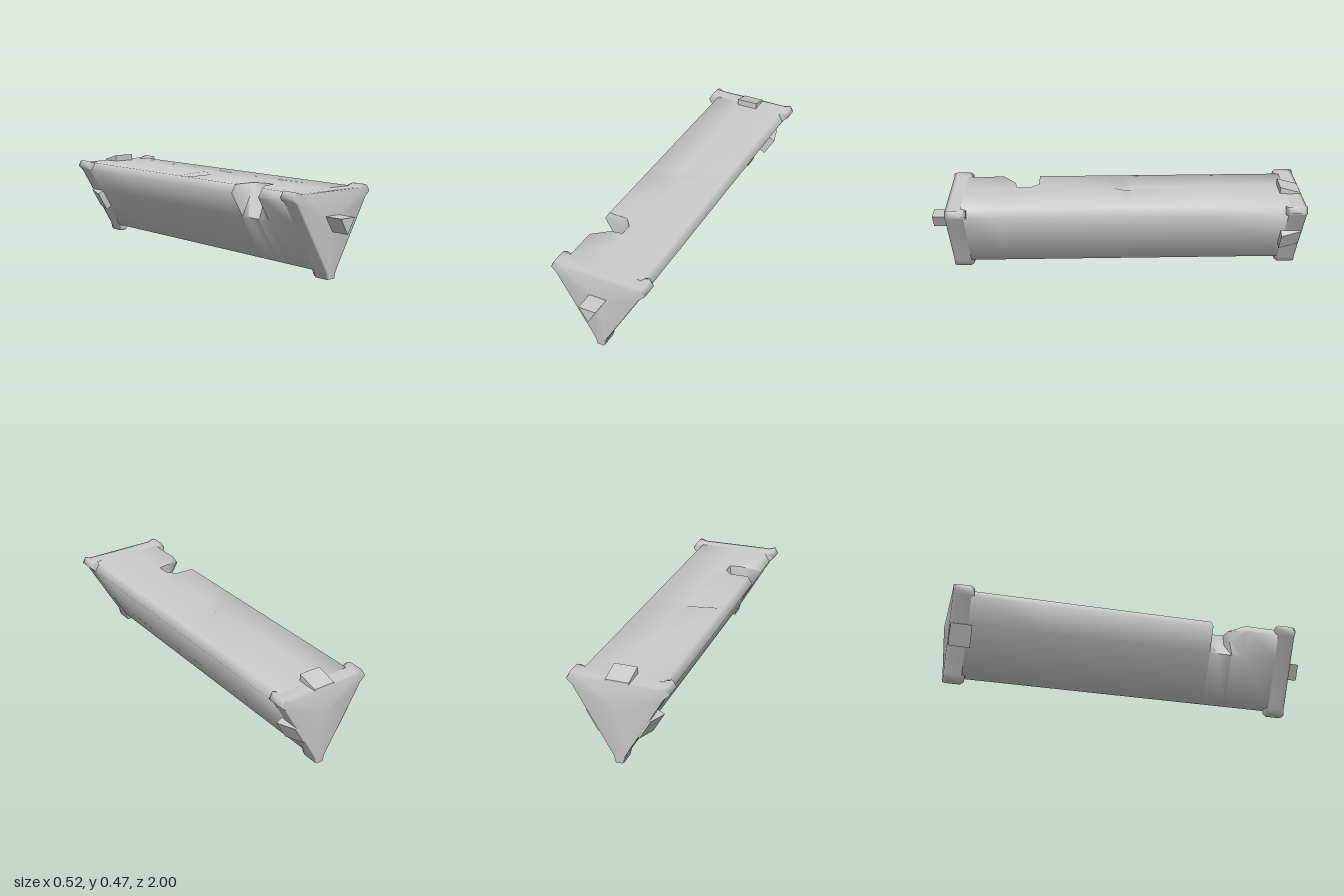
import * as THREE from 'three';
import { toCreasedNormals } from 'three/addons/utils/BufferGeometryUtils.js';

const CY = 0.289; // height of the triangle's centre
const material = new THREE.MeshStandardMaterial({ color: 0xcccccc, side: THREE.DoubleSide });

// Skin a list of rings (anticlockwise seen from +z, ordered from -z to +z)
function loft(rings, closed, crease) {
  const n = rings[0].length, pos = rings.flat(2), index = [];
  for (let r = 0; r < rings.length - 1; r++) {
    for (let i = 0; i < n; i++) {
      const a = r * n + i, b = r * n + (i + 1) % n;
      index.push(a, b, b + n, a, b + n, a + n);
    }
  }
  if (closed) {
    const last = (rings.length - 1) * n, c = rings.length * n;
    pos.push(0, CY, rings[0][0][2], 0, CY, rings[rings.length - 1][0][2]);
    for (let i = 0; i < n; i++) {
      const j = (i + 1) % n;
      index.push(c, j, i, c + 1, last + i, last + j);
    }
  }
  const g = new THREE.BufferGeometry();
  g.setAttribute('position', new THREE.Float32BufferAttribute(pos, 3));
  g.setIndex(index);
  if (crease) return toCreasedNormals(g, crease);
  g.computeVertexNormals();
  return g;
}

function add(parent, name, geometry) {
  const mesh = new THREE.Mesh(geometry, material);
  mesh.name = name;
  parent.add(mesh);
  return mesh;
}

// End cap outline: one flared corner repeated three times
function capRing(z, scale) {
  const corner = [[-0.026, -0.253], [-0.018, -CY], [0.018, -CY], [0.026, -0.253]];
  const ring = [];
  for (let k = 0; k < 3; k++) {
    const c = Math.cos(k * Math.PI * 2 / 3), s = Math.sin(k * Math.PI * 2 / 3);
    for (const [x, y] of corner) {
      ring.push([scale * (x * c - y * s), CY + scale * (x * s + y * c), z]);
    }
  }
  return ring;
}

// Body cross-section; cut is the inner x of the broken edge, if any
function bodyRing({ z, top = 0.439, pit = 0.439, cut }) {
  const broken = cut !== undefined;
  return [
    [0.026, 0.037], [0.232, 0.395], [0.205, 0.438],
    [0, top], [-0.04, pit],
    broken ? [cut, 0.438] : [-0.205, 0.438],
    broken ? [cut - 0.01, 0.37] : [-0.232, 0.395],
    [-0.16, 0.27], [-0.026, 0.037],
  ].map(([x, y]) => [x, y, z]);
}

export function createModel() {
  const model = new THREE.Group();
  model.name = 'triangularBeam';

  // Long body with a slight bulge, a small dent and a broken upper edge
  const sections = [
    { z: -0.92 }, { z: -0.5, top: 0.447, pit: 0.446 },
    { z: -0.09, top: 0.441, pit: 0.441 }, { z: -0.05, top: 0.441, pit: 0.425 },
    { z: 0.02 }, { z: 0.42 },
    { z: 0.421, cut: -0.1 }, { z: 0.47, cut: -0.06 }, { z: 0.54, cut: -0.06 },
    { z: 0.55, cut: -0.12 }, { z: 0.62 }, { z: 0.82 },
  ];
  add(model, 'body', loft(sections.map(bodyRing), false, 1.2));

  // Softly rounded caps at both ends
  const capSteps = [[-0.055, 0.95], [-0.038, 1], [0.038, 1], [0.055, 0.985]];
  add(model, 'frontCap', loft(capSteps.map(([z, s]) => capRing(0.845 + z, s)), true));
  add(model, 'backCap', loft(
    capSteps.map(([z, s]) => capRing(-0.945 - z, s)).reverse(), true));

  // Triangular peg on the front
  const peg = new THREE.Shape([[-0.047, 0.317], [0, 0.237], [0.047, 0.317]]
    .map(([x, y]) => new THREE.Vector2(x, y)));
  add(model, 'frontPeg', new THREE.ExtrudeGeometry(peg, { depth: 0.12, bevelEnabled: false }))
    .position.z = 0.88;

  // Ramped catch on each of the three sides at the back
  const ramp = new THREE.Shape([[0.885, 0.13], [0.995, 0.13], [0.995, 0.156], [0.885, 0.186]]
    .map(([x, y]) => new THREE.Vector2(x, y)));
  const rampGeometry = new THREE.ExtrudeGeometry(ramp, { depth: 0.118, bevelEnabled: false });
  rampGeometry.translate(0, 0, -0.059).rotateY(Math.PI / 2);
  ['topCatch', 'rightCatch', 'leftCatch'].forEach((name, k) => {
    const catchMesh = add(model, name, rampGeometry);
    catchMesh.position.y = CY;
    catchMesh.rotation.z = k * Math.PI * 2 / 3;
  });

  return model;
}
